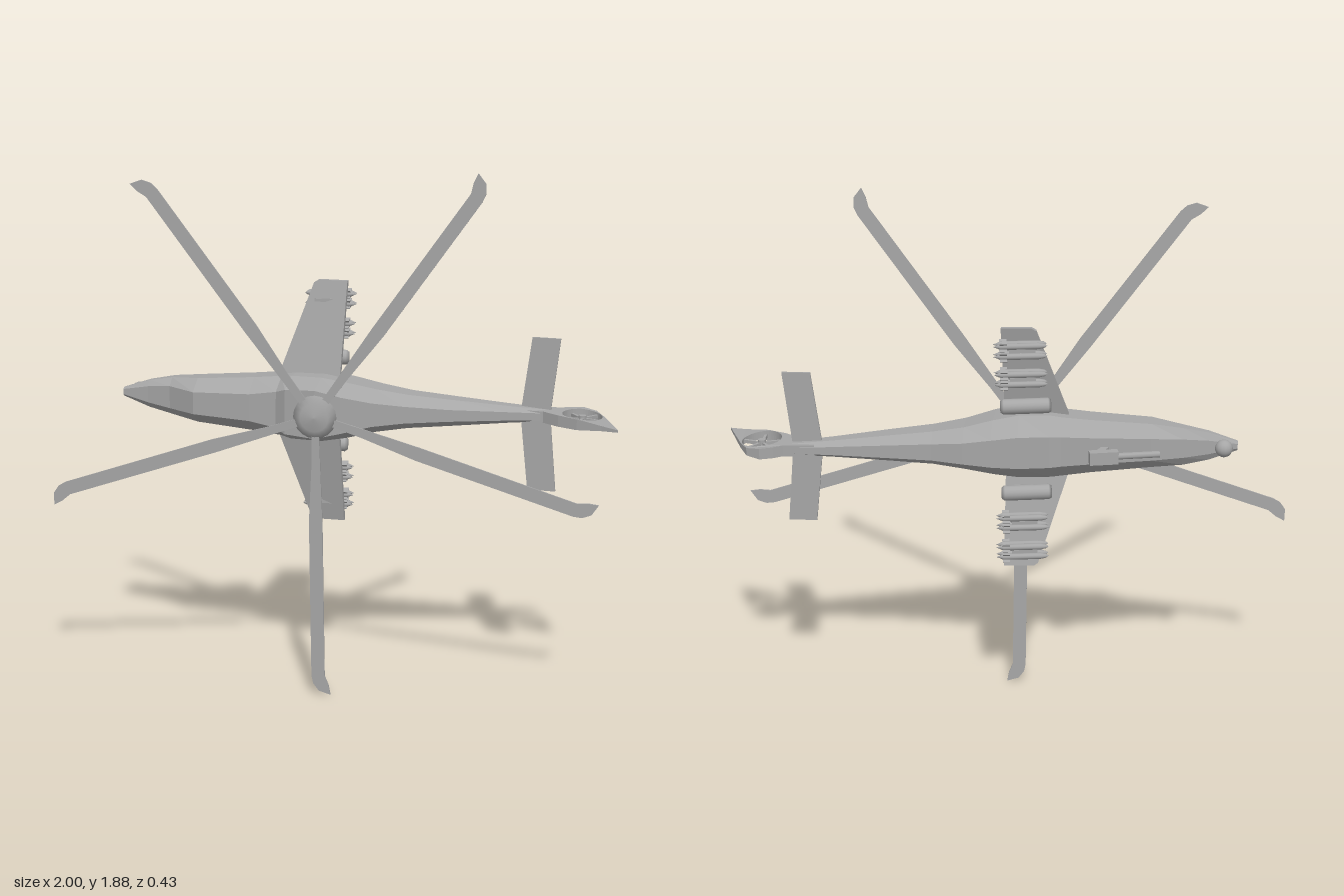
import * as THREE from 'three';

const grey = new THREE.MeshStandardMaterial({ color: 0xa6a6a6 });
grey.name = 'airframe grey';

function add(parent, name, geometry, x = 0, y = 0, z = 0) {
  const mesh = new THREE.Mesh(geometry, grey);
  mesh.name = name;
  mesh.position.set(x, y, z);
  parent.add(mesh);
  return mesh;
}

// Faceted hull through eight-sided sections: [x, low z, high z, half width, roof share]
function loft(stations) {
  const rings = stations.map(([x, lo, hi, w, top]) => {
    const at = f => lo + (hi - lo) * f;
    return [[-0.5 * w, lo], [0.5 * w, lo], [w, at(0.25)], [w, at(0.68)],
      [top * w, hi], [-top * w, hi], [-w, at(0.68)], [-w, at(0.25)]].map(([y, z]) => [x, y, z]);
  });
  const pos = [];
  const tri = (...corners) => corners.forEach(c => pos.push(...c));
  for (let i = 0; i < rings.length - 1; i++) {
    for (let j = 0; j < 8; j++) {
      const k = (j + 1) % 8;
      const a = rings[i][j], b = rings[i][k], c = rings[i + 1][k], d = rings[i + 1][j];
      tri(a, b, c);
      tri(a, c, d);
    }
  }
  const first = rings[0], last = rings[rings.length - 1];
  for (let j = 1; j < 7; j++) {
    tri(first[0], first[j + 1], first[j]);
    tri(last[0], last[j], last[j + 1]);
  }
  const g = new THREE.BufferGeometry();
  g.setAttribute('position', new THREE.Float32BufferAttribute(pos, 3));
  g.computeVertexNormals();
  return g;
}

// Flat plate from an outline, with an optional rule that moves each vertex
function plate(points, depth, warp, hole) {
  const shape = new THREE.Shape(points.map(p => new THREE.Vector2(...p)));
  if (hole) shape.holes.push(hole);
  const g = new THREE.ExtrudeGeometry(shape, { depth, bevelEnabled: false, curveSegments: 24 });
  g.translate(0, 0, -depth / 2);
  if (warp) {
    const p = g.attributes.position, v = new THREE.Vector3();
    for (let i = 0; i < p.count; i++) {
      warp(v.fromBufferAttribute(p, i));
      p.setXYZ(i, v.x, v.y, v.z);
    }
    g.computeVertexNormals();
  }
  return g;
}

const lathe = (pts, n) => new THREE.LatheGeometry(pts.map(p => new THREE.Vector2(...p)), n);

function makeMissile() {
  const missile = new THREE.Group();
  missile.name = 'missile';
  add(missile, 'missileBody', lathe([[0, -0.1], [0.006, -0.085], [0.011, -0.075],
    [0.011, 0.055], [0.007, 0.075], [0, 0.085]], 10).rotateZ(Math.PI / 2));
  for (let i = 0; i < 2; i++) {
    const fin = add(missile, 'missileFin', new THREE.BoxGeometry(0.025, 0.04, 0.003), 0.065);
    fin.rotation.x = Math.PI / 4 + i * Math.PI / 2;
  }
  return missile;
}

function makeSide(s) {
  const side = new THREE.Group();
  side.name = s > 0 ? 'upperSideWing' : 'lowerSideWing';

  // Drooping stub wing
  const outline = [[-0.24, 0.07], [-0.22, 0.11], [-0.115, 0.43], [-0.1, 0.44], [0.005, 0.44], [0, 0.07]];
  add(side, 'wing', plate(outline.map(([x, y]) => [x, s * y]), 0.018, v => {
    v.z += -0.04 - 0.205 * (Math.abs(v.y) - 0.1) - 0.05 * (v.x + 0.1);
  }));

  // Rocket pod nearest the hull
  const pod = add(side, 'rocketPod', lathe([[0, -0.085], [0.02, -0.085], [0.027, -0.075],
    [0.027, 0.08], [0.022, 0.09], [0.018, 0.08], [0, 0.08]], 16).rotateZ(Math.PI / 2), -0.075, s * 0.16, -0.118);
  pod.rotation.y = 0.16;
  add(side, 'podPylon', new THREE.BoxGeometry(0.08, 0.012, 0.06), -0.07, s * 0.16, -0.08);

  // Two racks of four missiles
  for (const [y, z] of [[0.265, -0.13], [0.37, -0.142]]) {
    const rack = new THREE.Group();
    rack.name = 'missileRack';
    rack.position.set(-0.07, s * y, z);
    rack.rotation.y = 0.13;
    for (const dy of [-0.018, 0.018]) for (const dz of [-0.014, 0.014]) {
      const missile = makeMissile();
      missile.position.set(0, dy, dz);
      rack.add(missile);
    }
    add(rack, 'rackPylon', new THREE.BoxGeometry(0.09, 0.012, 0.07), 0, 0, 0.02);
    side.add(rack);
  }

  // Tailplane half
  const tail = [[0.635, 0], [0.668, 0.275], [0.768, 0.275], [0.74, 0]];
  add(side, 'tailplane', plate(tail.map(([x, y]) => [x, s * y]), 0.008), 0, 0, -0.135);
  return side;
}

function makeTailFin() {
  const fin = new THREE.Group();
  fin.name = 'tailFin';
  const cx = 0.857, cz = -0.107;
  const hole = new THREE.Path();
  hole.absellipse(cx, cz, 0.07, 0.079, 0, Math.PI * 2, true);
  add(fin, 'finPanel', plate([[0.66, -0.172], [0.77, -0.18], [0.80, -0.2], [0.845, -0.217], [0.895, -0.195],
    [0.93, -0.13], [1.0, 0.035], [0.94, 0.01], [0.85, -0.02], [0.78, -0.055], [0.72, -0.098], [0.66, -0.098]],
  0.04, v => { v.z *= Math.min(1, Math.max(0.2, (1.02 - v.x) / 0.18)); }, hole).rotateX(Math.PI / 2));

  // Enclosed fan
  add(fin, 'fanHub', new THREE.CylinderGeometry(0.014, 0.014, 0.03, 12), cx, 0, cz);
  for (let i = 0; i < 5; i++) {
    const a = i * Math.PI * 0.4 + 0.3;
    const spoke = add(fin, 'fanBlade', new THREE.BoxGeometry(0.074, 0.012, 0.01),
      cx + Math.cos(a) * 0.038, 0, cz + Math.sin(a) * 0.038);
    spoke.rotation.y = -a;
  }
  return fin;
}

function makeRotor() {
  const rotor = new THREE.Group();
  rotor.name = 'mainRotor';
  rotor.position.set(-0.04, 1.025, 0.148);
  rotor.rotation.set(0.014, 0.0685, 0);
  add(rotor, 'rotorHub', lathe([[0, -0.02], [0.05, -0.015], [0.077, 0], [0.05, 0.014], [0, 0.02]], 20).rotateX(Math.PI / 2));
  add(rotor, 'rotorMast', new THREE.CylinderGeometry(0.02, 0.024, 0.08, 12).rotateX(Math.PI / 2), 0, 0, -0.04);
  const outline = [[0.05, -0.012], [0.18, -0.014], [0.38, -0.026], [0.955, -0.026], [0.985, -0.02], [1.012, 0],
    [1.025, 0.042], [0.99, 0.036], [0.955, 0.022], [0.38, 0.022], [0.05, 0.014]];
  for (let i = 0; i < 5; i++) {
    const blade = add(rotor, 'rotorBlade', plate(outline, 0.006));
    blade.rotation.z = THREE.MathUtils.degToRad(54.5 + 72 * i);
  }
  return rotor;
}

export function createModel() {
  const model = new THREE.Group();
  model.name = 'helicopter';

  // The airframe lies on its side: nose toward -x, roof toward +z
  const body = new THREE.Group();
  body.name = 'airframe';
  body.position.y = 1.025;
  body.rotation.z = -0.0137;
  model.add(body);

  add(body, 'fuselage', loft([
    [-0.81, -0.045, -0.022, 0.016, 0.6], [-0.71, -0.062, -0.008, 0.05, 0.6], [-0.62, -0.08, 0.012, 0.068, 0.6],
    [-0.51, -0.098, 0.078, 0.08, 0.5], [-0.3, -0.124, 0.083, 0.097, 0.5], [-0.2, -0.137, 0.085, 0.108, 0.6],
    [-0.16, -0.145, 0.11, 0.114, 0.7], [-0.05, -0.16, 0.12, 0.115, 0.75], [0.04, -0.172, 0.105, 0.1, 0.65],
    [0.14, -0.176, 0.062, 0.077, 0.55], [0.25, -0.166, 0.026, 0.06, 0.5], [0.4, -0.168, -0.012, 0.047, 0.45],
    [0.6, -0.172, -0.07, 0.03, 0.5], [0.74, -0.178, -0.105, 0.02, 0.6]]));
  body.add(makeSide(1), makeSide(-1), makeTailFin());

  // Nose sensor and chin gun
  add(body, 'noseSensor', new THREE.SphereGeometry(0.031, 14, 10), -0.762, 0, -0.068);
  const gun = new THREE.Group();
  gun.name = 'chinGun';
  gun.position.set(-0.35, 0, -0.18);
  gun.rotation.y = 0.2;
  add(gun, 'gunBody', new THREE.BoxGeometry(0.1, 0.045, 0.032));
  add(gun, 'gunBarrel', new THREE.CylinderGeometry(0.012, 0.012, 0.15, 8).rotateZ(Math.PI / 2), -0.12, 0, 0.004);
  const strut = add(gun, 'gunStrut', new THREE.BoxGeometry(0.025, 0.03, 0.09), 0, 0, 0.04);
  strut.rotation.y = -0.6;
  body.add(gun);

  model.add(makeRotor());
  return model;
}
